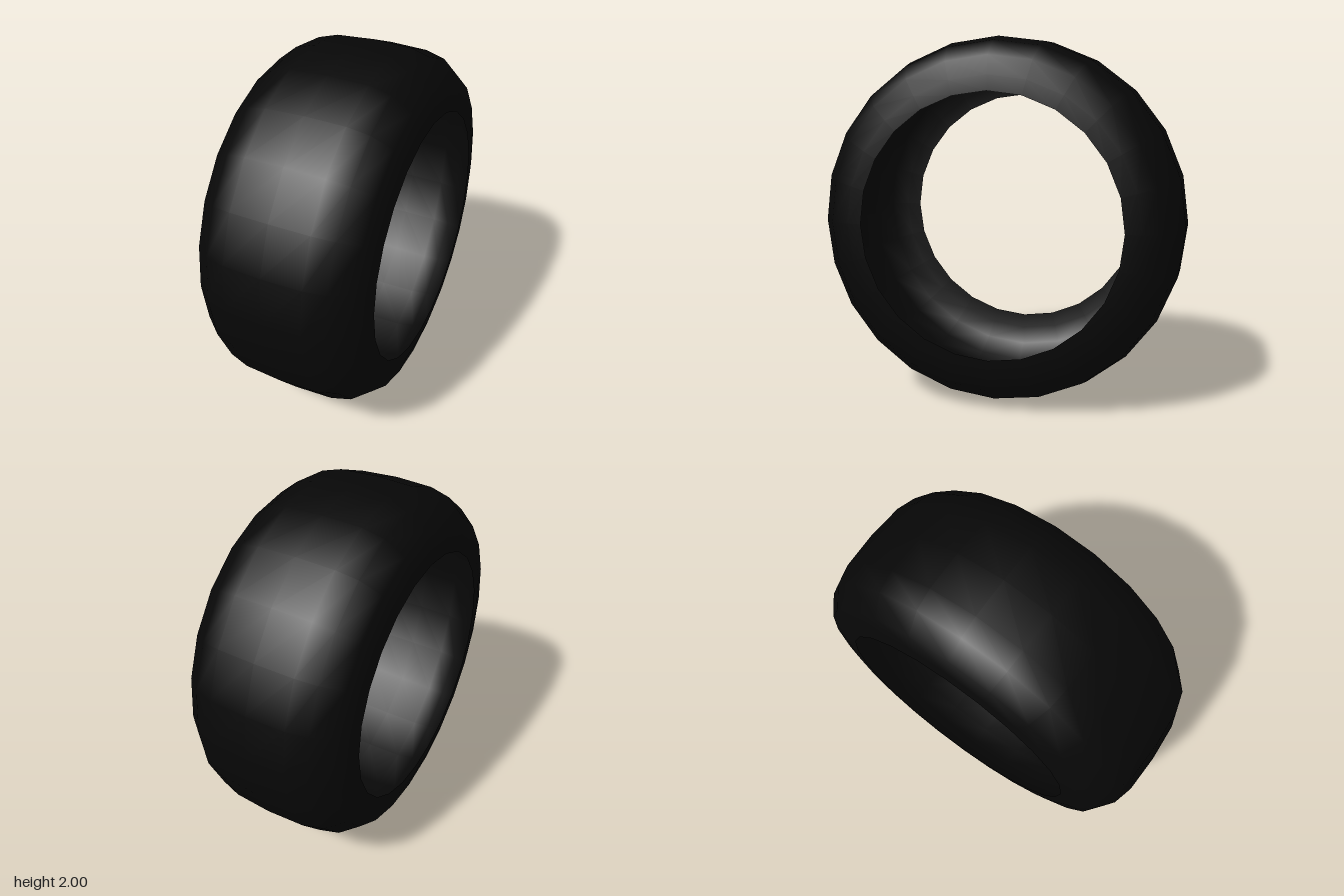
import * as THREE from 'three';

const SEGMENTS = 24;

// Half of the profile: [distance from the middle, radius]
const HALF = [[0.21, 0.99], [0.32, 0.96], [0.42, 0.88], [0.446, 0.78], [0.453, 0.7]];

export function createModel() {
  const group = new THREE.Group();
  group.name = 'tyre';
  const rubber = new THREE.MeshStandardMaterial({ color: 0x070707, side: THREE.DoubleSide });
  rubber.name = 'black rubber';

  // Hollow casing: rounded tread and both sidewalls, open towards the axle
  const mirrored = HALF.map(([x, r]) => [-x, r]).reverse();
  const profile = [...mirrored, [0, 1], ...HALF].map(([x, r]) => new THREE.Vector2(r, x));
  const geometry = new THREE.LatheGeometry(profile, SEGMENTS);
  geometry.rotateZ(-Math.PI / 2);
  const casing = new THREE.Mesh(geometry, rubber);
  casing.name = 'treadAndSidewalls';
  casing.position.y = 1;
  group.add(casing);
  return group;
}
